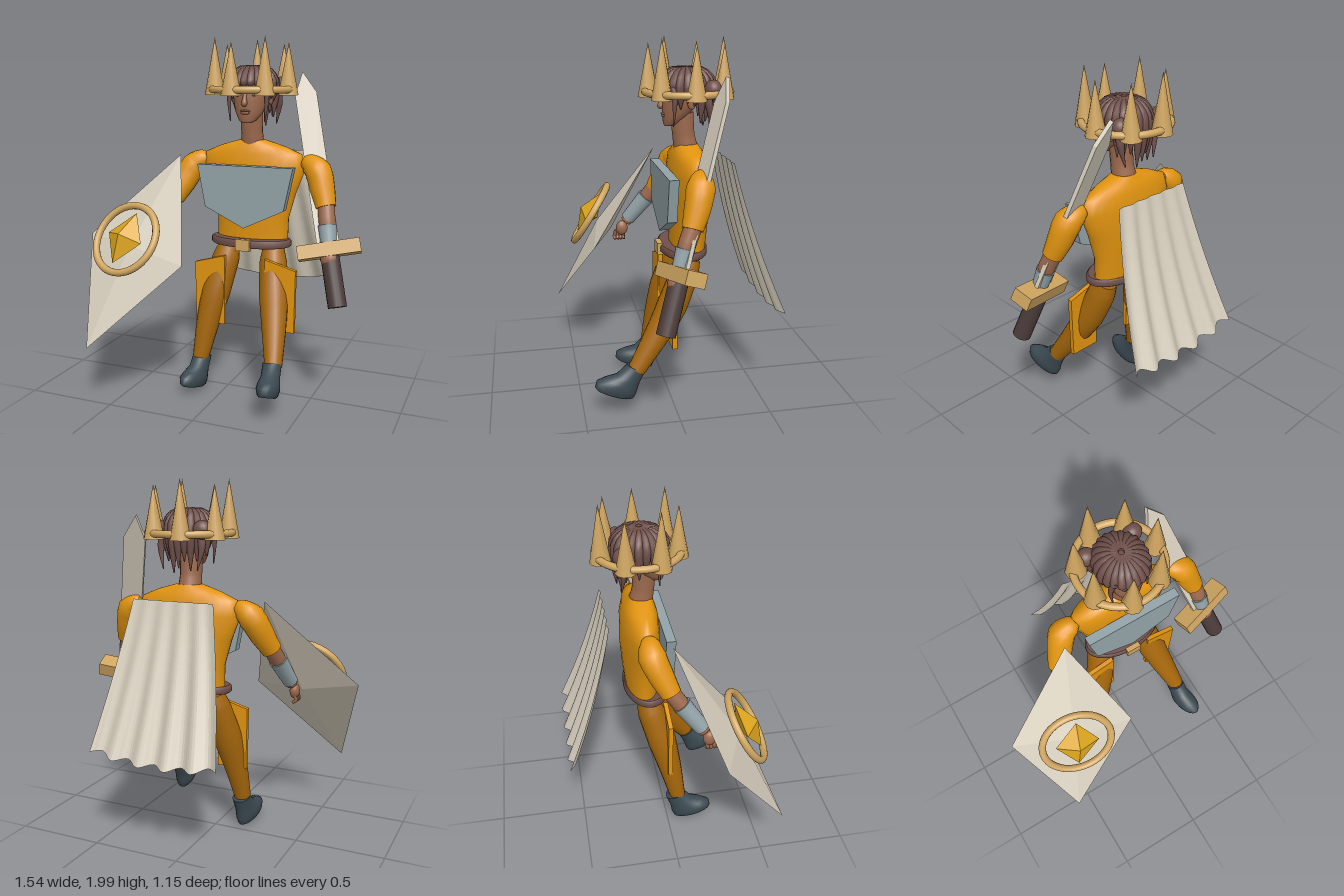
import * as THREE from 'three';
import { mergeGeometries } from 'three/addons/utils/BufferGeometryUtils.js';

const V = (x, y, z) => new THREE.Vector3(x, y, z);
const CX = 0.105; // midline of the body

// Closed skin over a list of rings, each ring an array of points turning about the travel direction
function loft(rings) {
  const pos = [], idx = [], n = rings[0].length;
  const add = (p) => pos.push(p.x, p.y, p.z) / 3 - 1;
  rings.forEach((r) => r.forEach(add));
  for (let i = 0; i < rings.length - 1; i++) for (let j = 0; j < n; j++) {
    const a = i * n + j, b = i * n + (j + 1) % n;
    idx.push(a, b, b + n, a, b + n, a + n);
  }
  [rings[0], rings[rings.length - 1]].forEach((r, end) => {
    const c = add(r.reduce((s, p) => s.add(p), V(0, 0, 0)).divideScalar(n));
    const o = r.map(add);
    o.forEach((p, j) => end ? idx.push(c, p, o[(j + 1) % n]) : idx.push(c, o[(j + 1) % n], p));
  });
  const g = new THREE.BufferGeometry();
  g.setAttribute('position', new THREE.Float32BufferAttribute(pos, 3));
  g.setIndex(idx);
  g.computeVertexNormals();
  return g;
}

// Level ellipses: [y, centre z, half width, half depth]
const stack = (rows, x = CX, n = 28) => loft(rows.map(([y, z, w, d]) =>
  Array.from({ length: n }, (_, j) => {
    const a = j / n * Math.PI * 2;
    return V(x + w * Math.cos(a), y, z - d * Math.sin(a));
  })));

// Tapered tube through points [x, y, z, radius]
function limb(pts, ref = V(1, 0, 0), n = 16, steps = 12) {
  const curve = new THREE.CatmullRomCurve3(pts.map((p) => V(p[0], p[1], p[2])));
  return loft(Array.from({ length: steps + 1 }, (_, i) => {
    const t = i / steps, f = t * (pts.length - 1), k = Math.min(Math.floor(f), pts.length - 2);
    const r = THREE.MathUtils.lerp(pts[k][3], pts[k + 1][3], f - k);
    const c = curve.getPoint(t), d = curve.getTangent(t);
    const u = ref.clone().cross(d).normalize(), v = d.clone().cross(u);
    return Array.from({ length: n }, (_, j) => {
      const a = j / n * Math.PI * 2;
      return c.clone().addScaledVector(u, r * Math.cos(a)).addScaledVector(v, r * Math.sin(a));
    });
  }));
}

const ball = (x, y, z, rx, ry, rz) =>
  new THREE.SphereGeometry(1, 20, 14).scale(rx, ry, rz).translate(x, y, z);
const box = (w, h, d, x, y, z) => new THREE.BoxGeometry(w, h, d).translate(x, y, z);
const plate = (pts, depth) => new THREE.ExtrudeGeometry(
  new THREE.Shape(pts.map((p) => new THREE.Vector2(p[0], p[1]))), { depth, bevelEnabled: false });
const join = (geos) => mergeGeometries(geos.map((g) => g.deleteAttribute('uv')));

export function createModel() {
  const model = new THREE.Group();
  const mat = (name, color, opt = {}) => {
    const m = new THREE.MeshStandardMaterial({ color, ...opt });
    m.name = name;
    return m;
  };
  const tunic = mat('orange tunic', 0xe0930f), trousers = mat('dark orange trousers', 0xa4660b);
  const skin = mat('skin', 0x9c694d), hair = mat('brown hair and leather', 0x70504b);
  const gold = mat('pale gold', 0xcfa560), gem = mat('amber gem', 0xd9a31b, { flatShading: true });
  const cloth = mat('pale stone', 0xd6cebd, { side: THREE.DoubleSide, flatShading: true });
  const steel = mat('steel', 0x93a3a8), boot = mat('slate boot', 0x3c4a52);
  const grip = mat('dark grip', 0x4b3c3a);
  const add = (name, geo, material, parent = model) => {
    const m = new THREE.Mesh(geo, material);
    m.name = name;
    parent.add(m);
    return m;
  };

  // Torso, belt and chest plate
  add('torso', stack([[0.86, -0.11, 0.21, 0.09], [1.0, -0.115, 0.212, 0.1], [1.15, -0.115, 0.255, 0.11],
    [1.28, -0.115, 0.305, 0.105], [1.36, -0.112, 0.285, 0.092], [1.4, -0.11, 0.19, 0.077], [1.435, -0.105, 0.07, 0.06]]), tunic);
  add('belt', stack([[0.842, -0.085, 0.225, 0.122], [0.85, -0.085, 0.236, 0.13],
    [0.878, -0.085, 0.236, 0.13], [0.886, -0.085, 0.225, 0.122]], CX, 32), hair);
  add('buckle', box(0.085, 0.065, 0.03, CX, 0.862, 0.045), gold);
  add('chestPlate', plate([[-0.17, 1.3], [-0.125, 1.065], [CX, 0.955], [0.335, 1.065], [0.385, 1.3]], 0.052)
    .translate(0, 0, -0.01), steel);

  // Hip panels
  for (const s of [-1, 1]) {
    const corners = [[0.12, 0.785], [0.12, 0.38], [0.295, 0.38], [0.3, 0.735]];
    add('hipPanel', plate(corners.map(([x, y]) => [CX + s * x, y]), 0.026), tunic);
  }

  // Legs and boots
  add('leftLeg', limb([[0.235, 0.83, -0.1, 0.06], [0.245, 0.75, -0.07, 0.078], [0.275, 0.58, 0.005, 0.083],
    [0.31, 0.42, 0.1, 0.068], [0.348, 0.25, 0.215, 0.048]]), trousers);
  add('rightLeg', limb([[-0.03, 0.83, -0.095, 0.06], [-0.045, 0.75, -0.075, 0.078], [-0.085, 0.56, -0.02, 0.083],
    [-0.12, 0.37, 0.025, 0.066], [-0.148, 0.17, 0.065, 0.046]]), trousers);
  const bootShape = stack([[0, 0.112, 0.042, 0.1], [0.012, 0.112, 0.054, 0.116], [0.045, 0.113, 0.062, 0.12],
    [0.075, 0.098, 0.058, 0.1], [0.11, 0.07, 0.051, 0.07], [0.18, 0.05, 0.051, 0.054]], 0, 24);
  for (const [name, x, y, z, pitch, yaw] of [['leftBoot', 0.345, 0.08, 0.24, -0.42, 0.14], ['rightBoot', -0.145, 0, 0.05, -0.3, -0.12]]) {
    const b = add(name, bootShape, boot);
    b.position.set(x, y, z);
    b.rotation.set(pitch, yaw, 0, 'YXZ');
  }

  // Arms: sleeve, forearm, bracer
  const arm = (side, sleeve, fore, bracer) => {
    add(side + 'Sleeve', limb(sleeve, V(0, 0, 1)), tunic);
    add(side + 'Forearm', limb(fore), skin);
    add(side + 'Bracer', limb(bracer), steel);
  };
  arm('left', [[0.4, 1.32, -0.115, 0.035], [0.43, 1.312, -0.11, 0.055], [0.485, 1.275, -0.095, 0.075], [0.52, 1.18, -0.07, 0.068], [0.55, 1.09, -0.04, 0.055]],
    [[0.545, 1.12, -0.05, 0.046], [0.565, 1.02, -0.01, 0.046], [0.585, 0.92, 0.025, 0.036]],
    [[0.568, 1.0, -0.002, 0.051], [0.587, 0.9, 0.03, 0.042]]);
  arm('right', [[-0.17, 1.325, -0.11, 0.035], [-0.2, 1.315, -0.105, 0.055], [-0.255, 1.275, -0.1, 0.075], [-0.3, 1.18, -0.06, 0.068], [-0.342, 1.09, -0.015, 0.055]],
    [[-0.332, 1.12, -0.03, 0.046], [-0.36, 1.02, 0.04, 0.046], [-0.4, 0.87, 0.155, 0.034]],
    [[-0.358, 1.03, 0.035, 0.054], [-0.396, 0.885, 0.145, 0.042]]);
  add('leftHand', ball(0.598, 0.83, 0.045, 0.05, 0.05, 0.05), skin);
  const fingers = [ball(-0.41, 0.825, 0.18, 0.028, 0.045, 0.036)];
  for (let i = 0; i < 4; i++) {
    const z = 0.163 + i * 0.018;
    fingers.push(limb([[-0.412, 0.81, z, 0.011], [-0.42, 0.77, z + 0.008, 0.011], [-0.402, 0.755, z + 0.006, 0.008]], V(0, 0, 1), 8, 6));
  }
  add('rightHand', join(fingers), skin);

  // Head
  add('neck', limb([[CX, 1.4, -0.105, 0.066], [CX, 1.48, -0.09, 0.06], [CX, 1.6, -0.08, 0.062]]), skin);
  add('head', stack([[1.533, -0.005, 0.028, 0.018], [1.545, -0.02, 0.048, 0.04], [1.585, -0.045, 0.075, 0.068],
    [1.64, -0.065, 0.092, 0.092], [1.69, -0.075, 0.098, 0.1], [1.74, -0.085, 0.1, 0.106],
    [1.79, -0.09, 0.082, 0.09], [1.815, -0.09, 0.04, 0.05]]), skin);
  add('nose', limb([[CX, 1.695, 0.02, 0.008], [CX, 1.66, 0.03, 0.012], [CX, 1.638, 0.034, 0.018], [CX, 1.625, 0.026, 0.01]], V(1, 0, 0), 12), skin);
  add('lips', join([ball(CX, 1.598, 0.022, 0.03, 0.006, 0.011), ball(CX, 1.586, 0.02, 0.026, 0.008, 0.011)]), skin);
  for (const s of [-1, 1]) {
    add('ear', ball(CX + s * 0.1, 1.66, -0.11, 0.012, 0.034, 0.022), skin);
    add('eye', ball(CX + s * 0.04, 1.678, 0.014, 0.016, 0.005, 0.004), grip);
    add('eyebrow', ball(CX + s * 0.042, 1.7, 0.016, 0.024, 0.005, 0.006), hair);
  }

  // Hair: cap, overlapping locks from the crown, side tufts and hanging strands
  const locks = [new THREE.SphereGeometry(1, 24, 12, 0, Math.PI * 2, 0, 1.75)
    .scale(0.112, 0.1, 0.135).rotateX(-0.25).translate(CX, 1.728, -0.105)];
  for (let i = 0; i < 22; i++) {
    const a = (i + 0.5) / 22 * Math.PI * 2, c = Math.cos(a), s = Math.sin(a);
    const back = Math.max(0, -s), drop = s > 0.55 ? 1.725 : 1.66 - 0.1 * back - 0.03 * (i % 3);
    const at = (k, y, r) => [CX + c * 0.118 * k, y, -0.105 + s * 0.135 * k, r];
    locks.push(limb([at(0.1, 1.822, 0.018), at(0.65, 1.81, 0.024), at(1, 1.755, 0.025),
      at(0.99, (1.755 + drop) / 2, 0.022), at(0.93, drop, 0.003)], V(-s, 0, c), 8, 10));
  }
  for (const s of [-1, 1]) {
    locks.push(ball(CX + s * 0.13, 1.73, -0.215, 0.05, 0.05, 0.045));
    locks.push(limb([[CX + s * 0.085, 1.77, -0.01, 0.018], [CX + s * 0.108, 1.68, -0.02, 0.015], [CX + s * 0.1, 1.54, -0.015, 0.003]], V(0, 0, 1), 8));
    locks.push(limb([[CX + s * 0.1, 1.75, -0.18, 0.03], [CX + s * 0.12, 1.64, -0.2, 0.02], [CX + s * 0.1, 1.52, -0.215, 0.003]], V(0, 0, 1), 8));
  }
  add('hair', join(locks), hair);

  // Crown: ring with seven spikes of alternating height
  const crown = new THREE.Group();
  crown.name = 'crown';
  crown.position.set(0.097, 1.71, -0.112);
  model.add(crown);
  add('crownRing', new THREE.TorusGeometry(0.225, 0.02, 12, 48).rotateX(Math.PI / 2), gold, crown);
  for (let i = 0; i < 7; i++) {
    const a = i / 7 * Math.PI * 2, h = i % 2 ? 0.31 : 0.28;
    add('crownSpike', new THREE.ConeGeometry(0.056, h, 10)
      .translate(0.207 * Math.cos(a), h / 2 - 0.03, 0.207 * Math.sin(a)), gold, crown);
  }

  // Sword: local y along the blade, local x along the guard
  const sword = new THREE.Group();
  sword.name = 'sword';
  const along = V(-0.325, 1.21, -0.375).normalize();
  const across = V(0.33, 0.06, -0.09);
  across.addScaledVector(along, -across.dot(along)).normalize();
  sword.applyMatrix4(new THREE.Matrix4().makeBasis(across, along, across.clone().cross(along)).setPosition(0.665, 0.59, 0.115));
  model.add(sword);
  add('swordGrip', new THREE.CylinderGeometry(0.05, 0.05, 0.29, 16).translate(0, 0.145, 0), grip, sword);
  add('swordGuard', box(0.335, 0.075, 0.11, 0, 0.308, 0), gold, sword);
  add('swordBlade', plate([[-0.06, 0.32], [0.06, 0.32], [0.06, 1.18], [0, 1.31], [-0.06, 1.18]], 0.022)
    .translate(0, 0, -0.011), cloth, sword);

  // Shield: flattened diamond with a ring and a gem standing off its face
  const shield = new THREE.Group();
  shield.name = 'shield';
  const wide = V(0.66, -0.09, 0.185).normalize(), tall = V(0.305, 1, -0.575);
  tall.addScaledVector(wide, -tall.dot(wide)).normalize();
  shield.applyMatrix4(new THREE.Matrix4().makeBasis(wide, tall, wide.clone().cross(tall)).setPosition(-0.44, 0.845, 0.2875));
  model.add(shield);
  add('shieldBoard', new THREE.OctahedronGeometry(1).scale(0.346, 0.597, 0.05), cloth, shield);
  add('shieldRing', new THREE.TorusGeometry(0.195, 0.02, 12, 40).translate(0, 0.02, 0.105), gold, shield);
  add('shieldGem', new THREE.OctahedronGeometry(1).scale(0.122, 0.15, 0.06).translate(0, 0.02, 0.115), gem, shield);

  // Cape: flaring sheet with folds that deepen toward the hem
  const cape = new THREE.PlaneGeometry(1, 1, 48, 12), p = cape.attributes.position;
  for (let i = 0; i < p.count; i++) {
    const u = p.getX(i) * 2, t = 0.5 - p.getY(i), w = Math.cos(u * Math.PI * 4.75);
    p.setXYZ(i, CX + u * (0.235 + 0.137 * t), 1.365 - t * (0.83 - 0.04 * u * u) + 0.008 * w * t,
      -0.305 - 0.17 * t - 0.08 * t * t + w * (0.004 + 0.018 * t));
  }
  cape.computeVertexNormals();
  add('cape', cape, cloth);

  return model;
}
